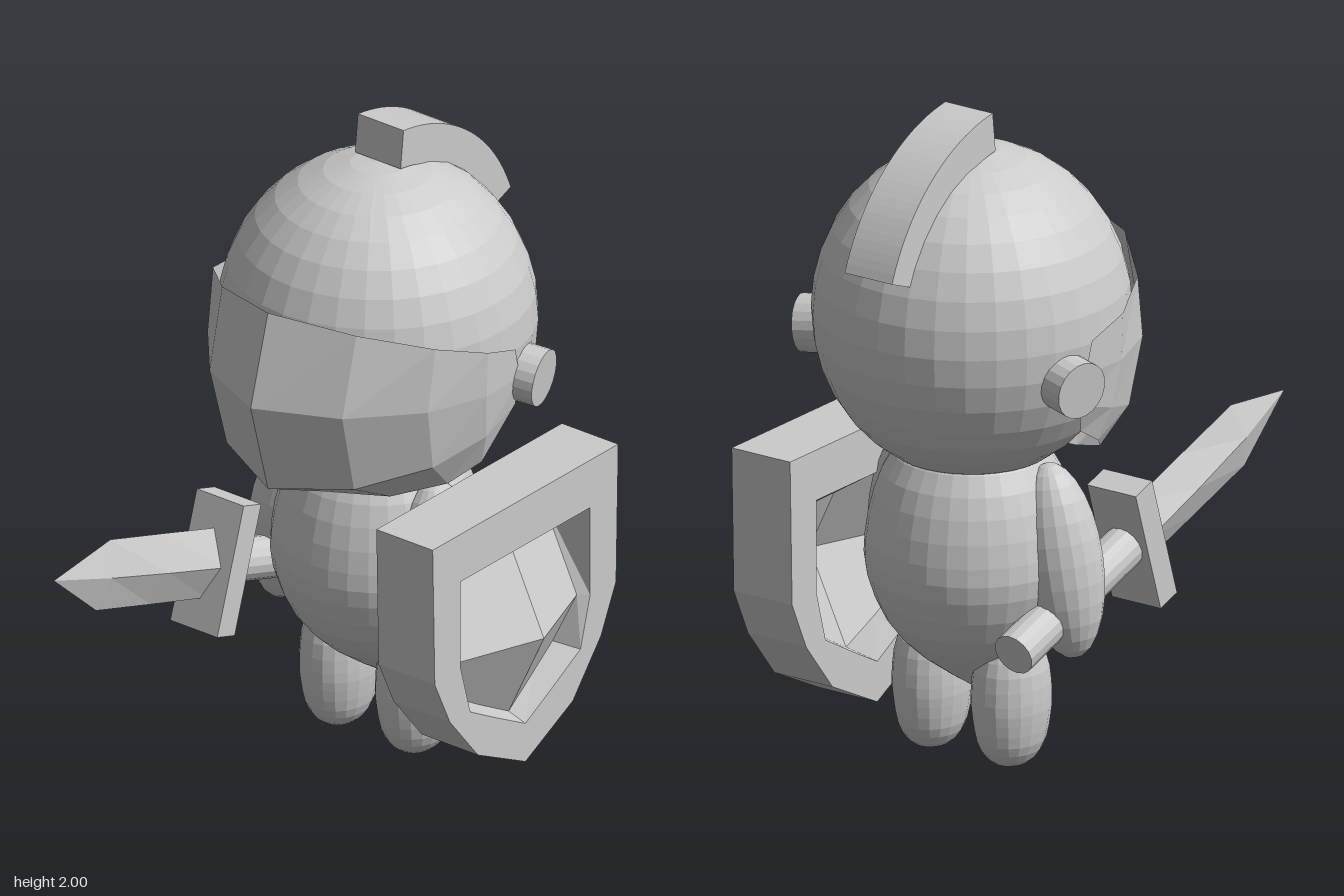
import * as THREE from 'three';

const MID = -0.047, DEPTH = -0.3; // centre line of the figure
const mat = new THREE.MeshStandardMaterial({ color: 0xcccccc, flatShading: true });
const shellMat = new THREE.MeshStandardMaterial({ color: 0xcccccc, flatShading: true, side: THREE.DoubleSide });

function add(parent, name, geometry, x = 0, y = 0, z = 0, material = mat) {
  const mesh = new THREE.Mesh(geometry, material);
  mesh.name = name;
  mesh.position.set(x, y, z);
  parent.add(mesh);
  return mesh;
}

// Skin neighbouring rows of points; closed rows wrap around
function loft(rows, closed = true) {
  const n = rows[0].length, index = [];
  for (let i = 0; i < rows.length - 1; i++) {
    for (let j = 0; j < (closed ? n : n - 1); j++) {
      const k = (j + 1) % n;
      const a = i * n + j, b = i * n + k, c = (i + 1) * n + k, d = (i + 1) * n + j;
      index.push(a, b, c, a, c, d);
    }
  }
  const geo = new THREE.BufferGeometry();
  geo.setAttribute('position', new THREE.Float32BufferAttribute(rows.flat(2), 3));
  geo.setIndex(index);
  geo.computeVertexNormals();
  return geo;
}

// Smooth lathe through a few [radius, height] points
function turned(points, rings, sides) {
  const curve = new THREE.SplineCurve(points.map(p => new THREE.Vector2(...p)));
  const profile = curve.getPoints(rings).map(p => new THREE.Vector2(Math.max(p.x, 0), p.y));
  return new THREE.LatheGeometry(profile, sides);
}

function makeVisor() {
  // Each row: centre-line [y, z], the hinge-side [y, z] it runs to, width scale
  const rows = [
    [[1.585, 0.21], [1.385, -0.37], 1],
    [[1.305, 0.29], [1.29, -0.4], 0.99],
    [[1.01, 0.21], [1.2, -0.4], 0.95],
    [[0.905, -0.03], [1.1, -0.34], 0.88],
  ];
  // Half width and how far forward each column lies
  const half = [[0.47, 0.03], [0.48, 0.27], [0.415, 0.55], [0.25, 0.83]];
  const columns = [...half, [0, 1], ...half.map(([h, f]) => [-h, f]).reverse()];
  return loft(rows.map(([p, q, w]) => columns.map(([h, f]) =>
    [MID + w * h, q[0] + f * (p[0] - q[0]), q[1] + f * (p[1] - q[1])])), false);
}

function makeCrest() {
  const shape = new THREE.Shape();
  const from = THREE.MathUtils.degToRad(96.5), to = THREE.MathUtils.degToRad(159);
  shape.absarc(0, 0, 0.606, from, to, false);
  shape.absarc(0, 0, 0.485, to, from, true);
  const geo = new THREE.ExtrudeGeometry(shape, { depth: 0.17, bevelEnabled: false, curveSegments: 12 });
  return geo.rotateY(-Math.PI / 2);
}

function makeShield() {
  // Half outlines [half width, y], top middle to bottom point
  const outer = [[0, 0.955], [0.43, 0.955], [0.42, 0.51], [0.35, 0.36], [0.22, 0.2], [0, 0.09]];
  const rim = [[0, 0.8], [0.3, 0.8], [0.3, 0.515], [0.255, 0.355], [0.13, 0.285], [0, 0.215]];
  const inset = [[0, 0.785], [0.275, 0.785], [0.275, 0.515], [0.23, 0.365], [0.12, 0.3], [0, 0.235]];
  const centre = outer.map(() => [0, 0.515]);
  // Raised boss falling away from its middle in four flat facets
  const boss = (h, y) => 0.572 - 0.36 * Math.abs(h) - 0.47 * Math.abs(y - 0.515);
  const bossBack = (h, y) => boss(h, y) - 0.035;
  const flat = x => () => x;
  const loop = (half, depth) => [...half, ...half.slice(1, -1).reverse().map(([h, y]) => [-h, y])]
    .map(([h, y]) => [depth(h, y), y, DEPTH + h]);
  return loft([
    loop(centre, bossBack), loop(inset, bossBack), loop(rim, flat(0.293)), loop(outer, flat(0.293)),
    loop(outer, flat(0.503)), loop(rim, flat(0.503)), loop(inset, boss), loop(centre, boss),
  ]);
}

function makeSword() {
  const sword = new THREE.Group();
  sword.name = 'sword';
  // Diamond cross-sections: half thickness, half width, distance along blade
  const sections = [[0.052, 0.107, 0], [0.045, 0.108, 0.27], [0.032, 0.108, 0.533], [0, 0, 0.774]];
  add(sword, 'blade', loft(sections.map(([t, w, s]) =>
    [[t, 0, s], [0, w, s], [-t, 0, s], [0, -w, s]])));
  add(sword, 'guard', new THREE.BoxGeometry(0.175, 0.4, 0.085), 0, 0, -0.015);
  add(sword, 'handle', new THREE.CylinderGeometry(0.065, 0.065, 0.63, 16).rotateX(Math.PI / 2), 0, 0, -0.315);
  sword.position.set(-0.347, 0.624, 0.093);
  sword.rotation.x = -0.312;
  return sword;
}

export function createModel() {
  const model = new THREE.Group();
  model.name = 'knight';

  // Helmet, slightly taller than wide
  add(model, 'helmet', new THREE.SphereGeometry(0.468, 32, 18), MID, 1.381, DEPTH).scale.y = 1.066;
  add(model, 'visor', makeVisor(), 0, 0, 0, shellMat);
  add(model, 'crest', makeCrest(), 0.04, 1.398, -0.242);

  // Body
  const torso = turned([[0, 0.215], [0.15, 0.32], [0.25, 0.43], [0.307, 0.57], [0.312, 0.68],
    [0.285, 0.82], [0.23, 0.94], [0.13, 1.03], [0, 1.06]], 16, 32);
  add(model, 'torso', torso, MID, 0, DEPTH);

  const leg = turned([[0, 0], [0.055, 0.016], [0.092, 0.07], [0.108, 0.15], [0.112, 0.22],
    [0.102, 0.32], [0.065, 0.4], [0, 0.43]], 16, 20);
  const up = new THREE.Vector3(0, 1, 0);
  for (const [side, s] of [['left', 1], ['right', -1]]) {
    add(model, side + 'Leg', leg, MID + s * 0.142, 0, DEPTH).scale.z = 1.17;

    // The shield arm reaches further forward than the sword arm
    const arm = add(model, side + 'Arm', new THREE.SphereGeometry(1, 20, 14),
      MID + s * 0.295, 0.652, s > 0 ? -0.2 : -0.265);
    arm.scale.set(0.125, 0.295, 0.12);
    arm.rotation.set(s > 0 ? -0.2 : 0, 0, s * 0.17);

    // Visor hinge, tilted slightly back and down
    const out = new THREE.Vector3(s * 0.96, -0.1, -0.25).normalize();
    const hinge = add(model, side + 'Hinge', new THREE.CylinderGeometry(0.087, 0.087, 0.17, 20),
      MID + s * 0.42, 1.279, -0.425);
    hinge.quaternion.setFromUnitVectors(up, out);
  }

  // Equipment
  add(model, 'shield', makeShield());
  model.add(makeSword());
  return model;
}
